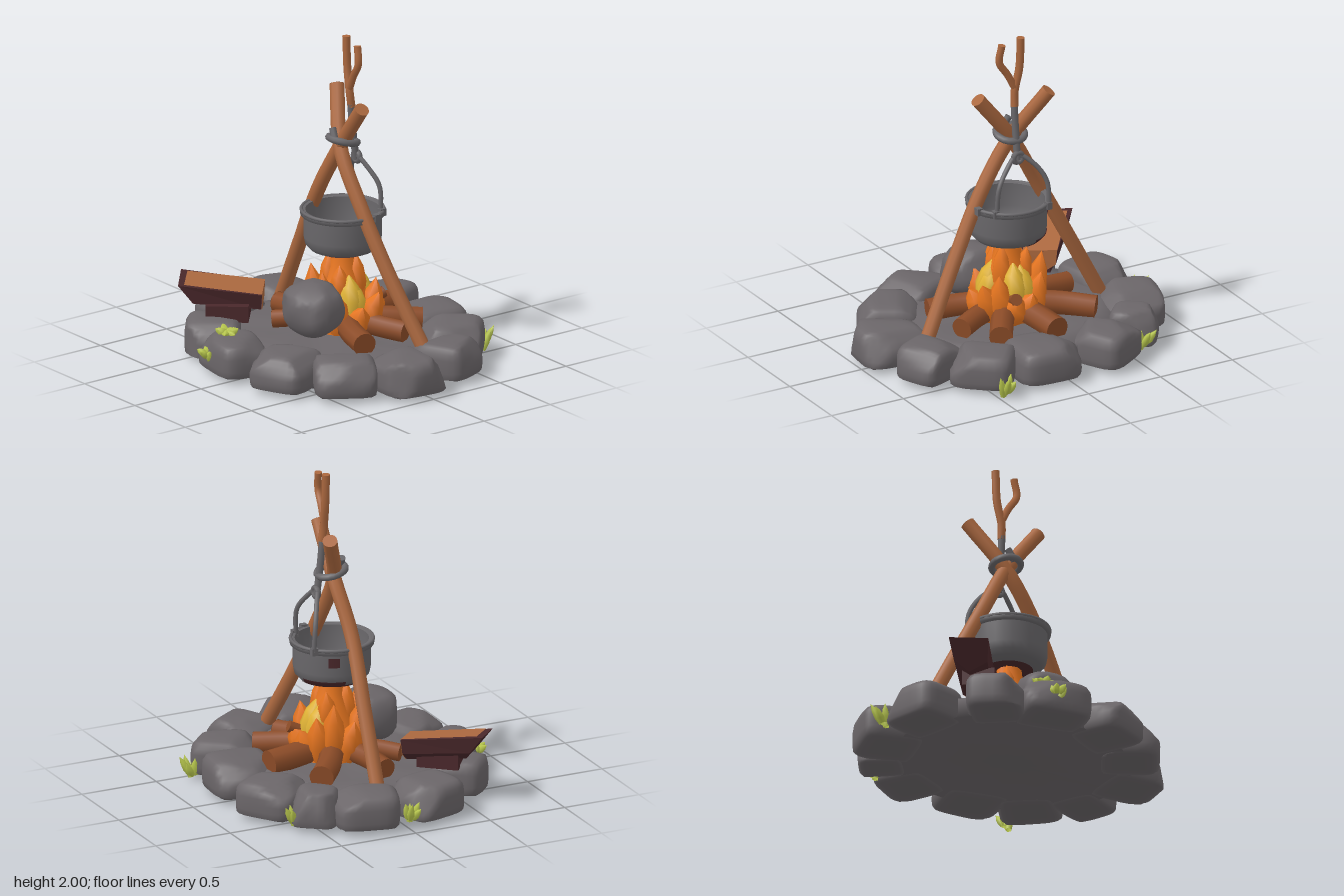
import * as THREE from 'three';
import { mergeGeometries, mergeVertices } from 'three/addons/utils/BufferGeometryUtils.js';

const V = (x, y, z) => new THREE.Vector3(x, y, z);

export function createModel() {
  const model = new THREE.Group();
  const mat = (name, color) => {
    const m = new THREE.MeshStandardMaterial({ color, side: THREE.DoubleSide });
    m.name = name;
    return m;
  };
  const stone = mat('stone', 0x6b6669);
  const iron = mat('iron', 0x69676a);
  const wood = mat('pole wood', 0xab683f);
  const logWood = mat('log wood', 0x8c4c28);
  const bark = mat('dark bark', 0x4a282b);
  const flame = mat('flame orange', 0xe8761f);
  const glow = mat('flame yellow', 0xdfb235);
  const leaf = mat('grass green', 0xb9c84e);

  const add = (name, geo, material, parent = model) => {
    const m = new THREE.Mesh(geo, material);
    m.name = name;
    parent.add(m);
    return m;
  };
  const group = (name) => {
    const g = new THREE.Group();
    g.name = name;
    model.add(g);
    return g;
  };
  let seed = 11;
  const rnd = () => {
    seed = (seed * 16807) % 2147483647;
    return seed / 2147483647 - 0.5;
  };

  // capped round bar along a smooth path
  const bar = (pts, r, sides = 9) => {
    const curve = new THREE.CatmullRomCurve3(pts.map((p) => V(...p)));
    const geos = [new THREE.TubeGeometry(curve, pts.length * 4, r, sides)];
    for (const t of [0, 1]) {
      const dir = curve.getTangent(t).multiplyScalar(t ? 1 : -1);
      const cap = new THREE.CircleGeometry(r, 18);
      cap.applyQuaternion(new THREE.Quaternion().setFromUnitVectors(V(0, 0, 1), dir));
      const p = curve.getPoint(t);
      geos.push(cap.translate(p.x, p.y, p.z));
    }
    return mergeGeometries(geos);
  };

  const lathe = (pts, a = 0, len = Math.PI * 2, n = 28) =>
    new THREE.LatheGeometry(pts.map((p) => new THREE.Vector2(...p)), n, a, len);

  // tapering spike from a base point to a tip, with a swollen lower part
  const spike = (base, tip, r, sides = 6) => {
    const a = V(...base), d = V(...tip).sub(a), h = d.length();
    const g = lathe([[r * 0.8, 0], [r, h * 0.32], [r * 0.72, h * 0.68], [0, h]], 0, Math.PI * 2, sides);
    g.applyQuaternion(new THREE.Quaternion().setFromUnitVectors(V(0, 1, 0), d.normalize()));
    return g.translate(a.x, a.y, a.z);
  };

  // worn stone: cube rounded to a superellipsoid, then chiselled by random planes
  const rock = (w, h, d, power, cuts) => {
    const box = new THREE.BoxGeometry(2, 2, 2, 8, 6, 8);
    box.deleteAttribute('normal');
    box.deleteAttribute('uv');
    const g = mergeVertices(box, 1e-4);
    const planes = Array.from({ length: cuts }, () => V(rnd(), rnd() * 0.5 + 0.25, rnd()).normalize());
    const lean = [rnd() * 0.12, rnd() * 0.12, rnd() * 0.12];
    const p = g.attributes.position, v = V();
    for (let i = 0; i < p.count; i++) {
      v.fromBufferAttribute(p, i);
      const len = ['x', 'y', 'z'].reduce((s, k) => s + Math.abs(v[k]) ** power, 0) ** (1 / power);
      v.divideScalar(len);
      for (const n of planes) {
        const over = v.dot(n) - 0.97;
        if (over > 0) v.addScaledVector(n, -over * 0.9);
      }
      v.x *= 1 + lean[0] * v.z;
      v.z *= 1 + lean[1] * v.x;
      v.y += lean[2] * v.x;
      p.setXYZ(i, v.x * w / 2, v.y * h / 2, v.z * d / 2);
    }
    g.computeVertexNormals();
    return g;
  };

  // ring of stones: x, z, tangential width, radial depth
  const ring = group('stoneRing');
  [[-0.2, -0.75, 0.4, 0.35], [0.21, -0.74, 0.4, 0.4], [0.48, -0.62, 0.27, 0.29], [0.62, -0.34, 0.38, 0.37],
    [0.64, 0.1, 0.42, 0.39], [0.54, 0.46, 0.38, 0.39], [0.32, 0.71, 0.33, 0.37], [-0.05, 0.8, 0.4, 0.4],
    [-0.37, 0.6, 0.38, 0.38], [-0.59, 0.3, 0.38, 0.38], [-0.66, -0.12, 0.44, 0.33], [-0.56, -0.46, 0.35, 0.34],
  ].forEach(([x, z, w, d]) => {
    const g = rock(w, 0.25, d, 4.6, 4);
    g.rotateY(Math.atan2(x, z)).translate(x, 0.11, z);
    const p = g.attributes.position;
    for (let i = 0; i < p.count; i++) p.setY(i, Math.max(p.getY(i), 0.022));
    add('ringStone', g, stone, ring);
  });

  // uneven stone bed inside the ring
  const bed = lathe([[0, 0.023], [0.66, 0.023], [0.66, 0.14], [0.52, 0.17], [0.38, 0.165], [0.22, 0.175], [0, 0.175]], 0, Math.PI * 2, 36);
  const bp = bed.attributes.position;
  for (let i = 0; i < bp.count; i++) {
    const x = bp.getX(i), y = bp.getY(i), z = bp.getZ(i);
    if (y > 0.1) bp.setY(i, y + 0.014 * Math.sin(x * 13) * Math.cos(z * 12));
  }
  bed.scale(0.98, 1, 1.14).computeVertexNormals();
  add('stoneBed', bed, stone);

  // boulder beside the fire
  add('boulder', rock(0.34, 0.32, 0.37, 2.7, 9).rotateZ(0.3).translate(-0.23, 0.38, 0.1), stone);

  // crossed poles
  add('frontPole', bar([[0.19, 0.17, 0.66], [0.1, 0.62, 0.41], [0.05, 1, 0.2], [0.05, 1.3, 0.01], [0.18, 1.635, -0.2]], 0.045), wood);
  add('backPole', bar([[0.07, 0.17, -0.62], [0.05, 0.6, -0.4], [0.03, 1, -0.19], [0.06, 1.33, 0], [0.05, 1.615, 0.22]], 0.045), wood);

  // forked stick
  const fork = group('forkedStick');
  add('forkStem', bar([[0.13, 1.56, 0.01], [0.12, 1.65, 0.005], [0.125, 1.8, -0.025], [0.125, 1.998, -0.035]], 0.025, 7), wood, fork);
  add('forkBranch', bar([[0.12, 1.68, 0.005], [0.115, 1.77, 0.05], [0.11, 1.86, 0.105], [0.115, 1.97, 0.09]], 0.023, 7), wood, fork);

  // iron binding, hook rod and pot handle
  const hanger = group('potHanger');
  add('bindingRing', new THREE.TorusGeometry(0.088, 0.022, 8, 20).rotateX(Math.PI / 2).rotateZ(-0.25).translate(0.07, 1.36, 0.005), iron, hanger);
  add('bindingKnot', bar([[0, 1.37, 0.02], [0.01, 1.44, -0.02]], 0.022), iron, hanger);
  add('hookRod', bar([[0.125, 1.58, 0.01], [0.14, 1.42, 0.01], [0.165, 1.22, 0.01]], 0.022), iron, hanger);
  add('hookLoop', new THREE.TorusGeometry(0.03, 0.018, 7, 14).rotateY(Math.PI / 2).translate(0.17, 1.235, 0.01), iron, hanger);
  add('handle', bar([[0.22, 0.92, 0.185], [0.22, 1.08, 0.17], [0.19, 1.18, 0.1], [0.165, 1.25, 0.01],
    [0.21, 1.19, -0.08], [0.25, 1.08, -0.145], [0.265, 0.92, -0.155]], 0.015, 7), iron, hanger);

  // pot, open at the top
  const pot = group('pot');
  pot.position.set(0.06, 0, 0.015);
  add('potBody', lathe([[0.15, 0.664], [0.2, 0.682], [0.228, 0.712], [0.237, 0.76], [0.237, 0.895]]), iron, pot);
  add('potRim', lathe([[0.235, 0.892], [0.256, 0.896], [0.258, 0.925], [0.25, 0.932], [0.225, 0.925]]), iron, pot);
  add('potInside', lathe([[0.225, 0.925], [0.222, 0.78], [0.19, 0.71], [0, 0.7]]), iron, pot);
  add('rimBead', new THREE.TorusGeometry(0.25, 0.011, 7, 32).rotateX(Math.PI / 2).translate(0, 0.925, 0), iron, pot);
  add('sootBottom', lathe([[0, 0.66], [0.15, 0.661]]), bark, pot);
  add('sootLow', lathe([[0.15, 0.661], [0.203, 0.68], [0.216, 0.692]], 1.65, 1.7, 12), bark, pot);
  add('sootHigh', lathe([[0.216, 0.692], [0.232, 0.71], [0.235, 0.72]], 1.85, 1.2, 8), bark, pot);
  add('sootSpot', lathe([[0.241, 0.815], [0.241, 0.875]], 2.6, 0.28, 4), bark, pot);
  for (const [x, z] of [[0.16, 0.18], [0.2, -0.165], [0.07, 0.245]])
    add('lug', new THREE.BoxGeometry(0.04, 0.045, 0.035).translate(x, 0.92, z), iron, pot);

  // fire logs: outer end x, z and radius
  const logs = group('fireLogs');
  [[-0.06, -0.47, 0.065], [0.35, -0.43, 0.075], [0.52, -0.06, 0.078], [0.45, 0.29, 0.072],
    [0.22, 0.43, 0.066], [-0.12, 0.47, 0.072], [-0.27, -0.25, 0.055],
  ].forEach(([x, z, r]) => add('fireLog', bar([[0.06, 0.25, 0.01], [x * 0.6, 0.235, z * 0.6], [x, 0.22, z]], r), logWood, logs));
  add('raisedLog', bar([[0.1, 0.27, 0.03], [0.2, 0.32, 0.07], [0.31, 0.37, 0.1]], 0.036, 7), logWood, logs);

  // fire: core, tongues by angle, reach and tip height, then yellow hearts
  const fire = group('fire');
  const around = (a, r, y) => [0.06 + Math.sin(a) * r, y, 0.02 + Math.cos(a) * r];
  const core = lathe([[0.2, 0.18], [0.195, 0.29], [0.15, 0.38], [0.12, 0.48], [0.085, 0.58], [0.075, 0.665]], 0, Math.PI * 2, 9);
  add('fireCore', core.translate(0.06, 0, 0.02), flame, fire);
  [[-0.15, 0.25, 0.37], [0.4, 0.25, 0.44], [0.8, 0.2, 0.5], [1.3, 0.25, 0.38], [1.75, 0.24, 0.38], [2.25, 0.22, 0.48],
    [2.75, 0.21, 0.57], [3.3, 0.24, 0.46], [3.85, 0.2, 0.57], [4.4, 0.22, 0.45], [4.85, 0.18, 0.57], [5.45, 0.22, 0.46],
  ].forEach(([a, out, h]) => add('flameTongue', spike(around(a, 0.15, 0.2), around(a, out, h), 0.08), flame, fire));
  for (const [a, out, h] of [[0.6, 0.08, 0.66], [2.4, 0.12, 0.62], [4, 0.09, 0.66], [5.4, 0.1, 0.6]])
    add('topFlame', spike(around(a, 0.08, 0.38), around(a, out, h), 0.065), flame, fire);
  for (const [a, h] of [[-0.28, 0.54], [-0.1, 0.5], [1.4, 0.55], [1.9, 0.53]])
    add('yellowFlame', spike(around(a, 0.135, 0.3), around(a, 0.09, h), 0.078, 8), glow, fire);

  // split log: bark-clad wedge with a pale cut face, outer end to inner end
  const split = group('splitLog');
  const section = (l, r, depth, shift) => {
    const a = V(...l), b = V(...r);
    const low = (t, k) => a.clone().lerp(b, t).add(V(shift * k, -depth * k, shift * k));
    return [a, b, low(0.95, 0.65), low(0.6, 1), low(0.1, 0.7)];
  };
  const faces = (list) => {
    const pos = list.flatMap((f) => f.slice(2).flatMap((_, i) => [f[0], f[i + 1], f[i + 2]])).flatMap((p) => [p.x, p.y, p.z]);
    const g = new THREE.BufferGeometry();
    g.setAttribute('position', new THREE.Float32BufferAttribute(pos, 3));
    g.computeVertexNormals();
    return g;
  };
  const A = section([-0.71, 0.42, -0.61], [-0.55, 0.445, -0.79], 0.17, 0.09);
  const B = section([-0.31, 0.36, -0.3], [-0.165, 0.385, -0.46], 0.14, -0.01);
  const sides = [0, 1, 2, 3, 4].map((i) => [A[(i + 1) % 5], B[(i + 1) % 5], B[i], A[i]]);
  add('splitBark', faces([...sides, A]), bark, split);
  const onTop = (t, s) => A[0].clone().lerp(B[0], t).lerp(A[1].clone().lerp(B[1], t), s).add(V(0, 0.006, 0));
  const edge = [onTop(1, 0), onTop(1, 1)];
  add('splitFace', faces([[onTop(0.07, 0.05), edge[0], edge[1], onTop(0.08, 0.9)]]), wood, split);
  const tip = B.map((p) => p.clone().add(V(0.004, 0, 0.004)));
  add('splitEnd', faces([[edge[0], tip[4], tip[3], tip[2], edge[1]]]), wood, split);
  add('barkChunk', new THREE.BoxGeometry(0.2, 0.1, 0.26).rotateY(0.85).translate(-0.43, 0.25, -0.48), bark, split);

  // grass tufts: x, y, z, outward lean, blade length
  const grass = group('grass');
  [[-0.01, 0.06, -0.91, 0, -1, 0.12], [0.61, 0.035, -0.6, 0.7, -0.7, 0.11], [0.78, 0.025, 0.45, 0.8, 0.1, 0.12],
    [-0.81, 0.12, -0.18, -0.6, 0, 0.055],
  ].forEach(([x, y, z, ox, oz, h]) => {
    for (let i = 0; i < 5; i++) {
      const a = i * 1.26, s = Math.sin(a) * 0.05, c = Math.cos(a) * 0.05;
      add('blade', spike([x + s * 0.3, y - (i ? 0 : 0.025), z + c * 0.3],
        [x + s + ox * 0.04, y + h * (0.85 + rnd() * 0.4), z + c + oz * 0.04], 0.024, 5), leaf, grass);
    }
  });

  // spreading moss tuft on top of a stone
  for (let i = 0; i < 7; i++) {
    const a = i * 0.9, s = Math.sin(a), c = Math.cos(a);
    add('mossBlade', spike([-0.67 + s * 0.01, 0.225, -0.18 + c * 0.015],
      [-0.67 + s * 0.065, 0.245 + (i % 2) * 0.02, -0.18 + c * 0.085], 0.03, 5), leaf, grass);
  }
  return model;
}
